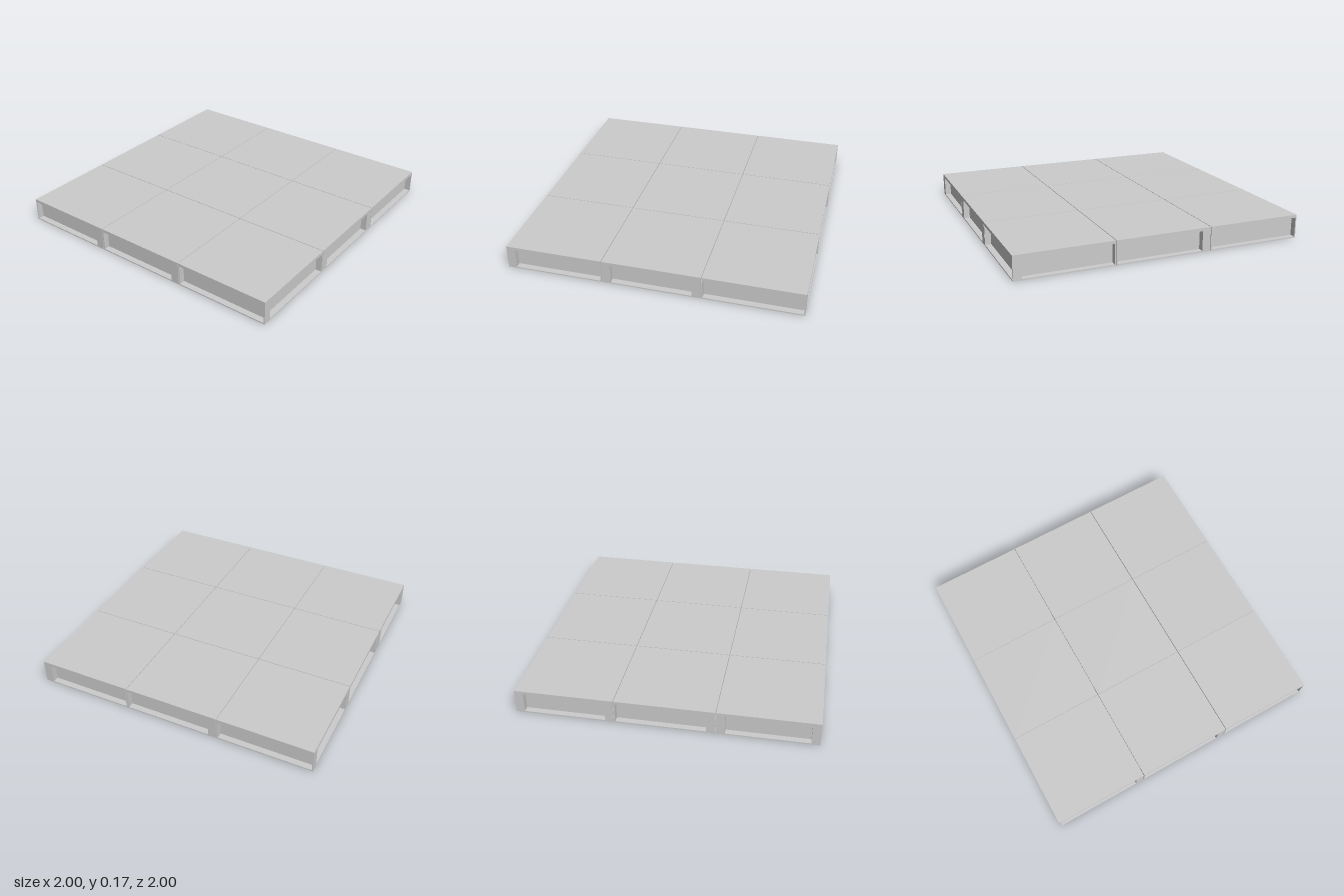
import * as THREE from 'three';
import { mergeGeometries } from 'three/addons/utils/BufferGeometryUtils.js';

const SIZE = 0.664, PITCH = 0.668;   // deck module and its spacing
const FRAME_H = 0.152, TOP = 0.165;  // frame height and overall height
const DEPTH = 0.05, WALL = 0.008;    // channel depth and sheet thickness

const material = new THREE.MeshStandardMaterial({ color: 0xcccccc });

// Which beam runs through at each corner (X: front/back beam, Z: side beam),
// ordered front-right, back-right, back-left, front-left in plan (right = +x).
const JOINTS = [
  ['ZXXX', 'ZXZX', 'ZZXX'], // back row
  ['ZXZX', 'ZXZX', 'XXZZ'], // middle row
  ['ZXXX', 'ZXZX', 'XZZX'], // front row
];

function box(w, h, d, x, y, z) {
  return new THREE.BoxGeometry(w, h, d).translate(x, y, z);
}

// Channel with capped ends, from x0 to x1, open towards +z, mouth at z = 0
function channel(x0, x1) {
  const len = x1 - x0, cx = (x0 + x1) / 2, cz = -DEPTH / 2;
  const capH = FRAME_H - 2 * WALL;
  return mergeGeometries([
    box(len - 2 * WALL, capH, WALL, cx, FRAME_H / 2, -DEPTH + WALL / 2),
    box(len, WALL, DEPTH, cx, WALL / 2, cz),
    box(len, WALL, DEPTH, cx, FRAME_H - WALL / 2, cz),
    box(WALL, capH, DEPTH, x0 + WALL / 2, FRAME_H / 2, cz),
    box(WALL, capH, DEPTH, x1 - WALL / 2, FRAME_H / 2, cz),
  ]);
}

function addMesh(group, name, geometry) {
  const mesh = new THREE.Mesh(geometry, material);
  mesh.name = name;
  group.add(mesh);
}

function createModule(joints) {
  const group = new THREE.Group();
  const half = SIZE / 2;

  // Deck panel
  addMesh(group, 'deckPanel', box(SIZE, TOP - FRAME_H, SIZE, 0, (TOP + FRAME_H) / 2, 0));

  // Perimeter channels, open outwards; the losing beam at a corner is shortened
  ['frontBeam', 'rightSideBeam', 'backBeam', 'leftSideBeam'].forEach((name, k) => {
    const own = k % 2 ? 'Z' : 'X';
    const trim = (corner) => (joints[corner % 4] === own ? 0 : DEPTH);
    const geometry = channel(-half + trim(k + 3), half - trim(k));
    geometry.translate(0, 0, half).rotateY((k * Math.PI) / 2);
    addMesh(group, name, geometry);
  });

  // Middle joist running front to back
  const reach = half - DEPTH;
  addMesh(group, 'middleJoist',
    channel(-reach, reach).translate(0, 0, DEPTH / 2).rotateY(Math.PI / 2));
  return group;
}

export function createModel() {
  const model = new THREE.Group();
  model.name = 'modularPlatform';
  JOINTS.forEach((row, r) => row.forEach((joints, c) => {
    const module = createModule(joints);
    module.name = `deckModule${r + 1}_${c + 1}`;
    module.position.set((c - 1) * PITCH, 0, (r - 1) * PITCH);
    model.add(module);
  }));
  return model;
}
